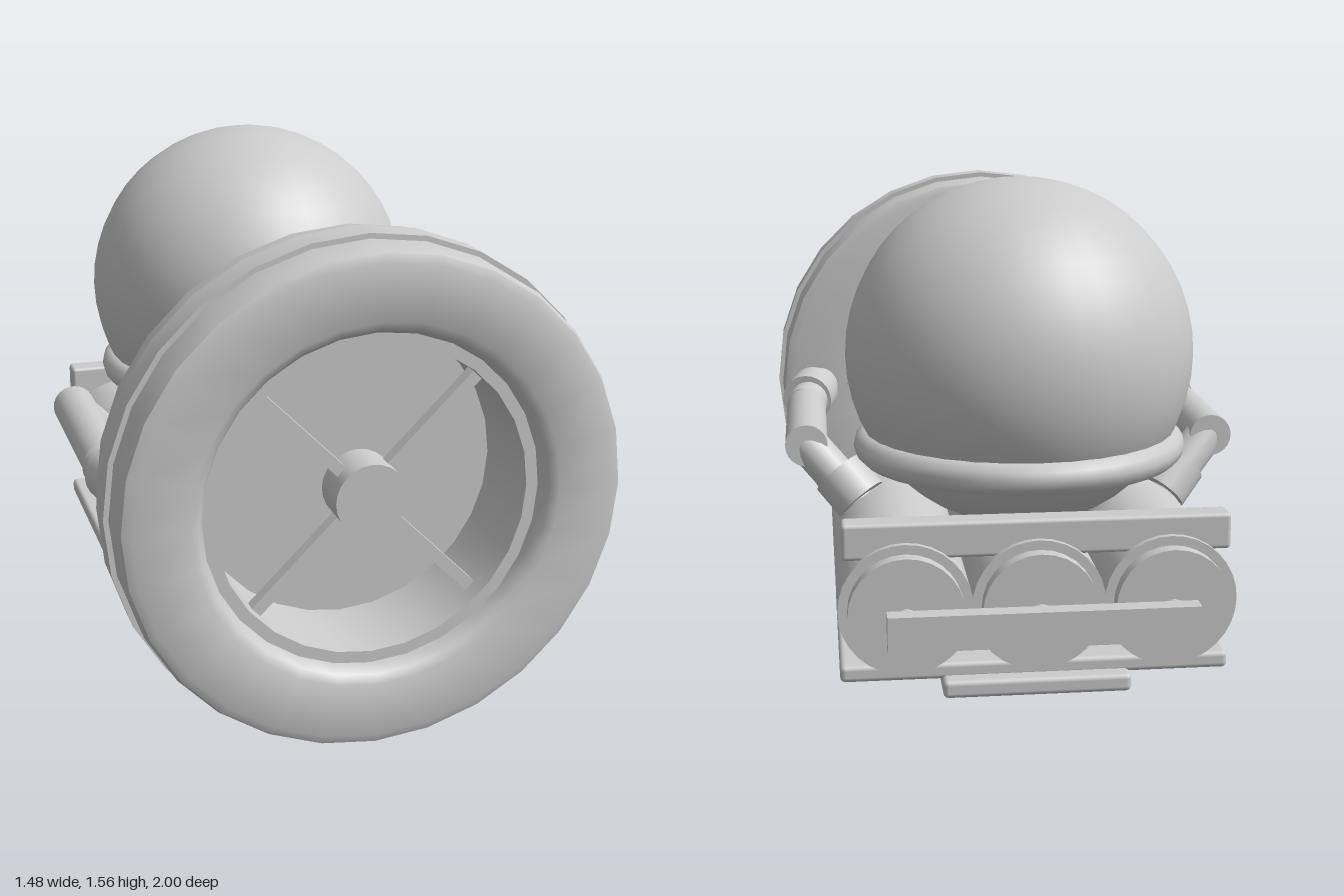
import * as THREE from 'three';
import { toCreasedNormals } from 'three/addons/utils/BufferGeometryUtils.js';
import { RoundedBoxGeometry } from 'three/addons/geometries/RoundedBoxGeometry.js';

const V = (x, y, z) => new THREE.Vector3(x, y, z);

export function createModel() {
  const model = new THREE.Group();
  model.name = 'thrusterCraft';
  const grey = new THREE.MeshStandardMaterial({ color: 0xcccccc });
  grey.name = 'lightGrey';

  const add = (name, geometry, x = 0, y = 0, z = 0) => {
    const mesh = new THREE.Mesh(geometry, grey);
    mesh.name = name;
    mesh.position.set(x, y, z);
    model.add(mesh);
    return mesh;
  };
  // rounded block given by its limits on each axis
  const block = (name, [x0, x1], [y0, y1], [z0, z1], r) =>
    add(name, new RoundedBoxGeometry(x1 - x0, y1 - y0, z1 - z0, 2, r),
      (x0 + x1) / 2, (y0 + y1) / 2, (z0 + z1) / 2);
  // cylinder between two points
  const rod = (name, a, b, r, sides = 24) => {
    const mesh = add(name, new THREE.CylinderGeometry(r, r, a.distanceTo(b), sides));
    mesh.position.copy(a).lerp(b, 0.5);
    mesh.quaternion.setFromUnitVectors(V(0, 1, 0), b.clone().sub(a).normalize());
    return mesh;
  };
  // profile of (radius, z) points turned about the fan axis
  const fanY = 0.745;
  const turned = (name, profile) => {
    const pts = profile.map(([r, z]) => new THREE.Vector2(r, z));
    const geo = new THREE.LatheGeometry(pts, 28).rotateX(Math.PI / 2);
    return add(name, toCreasedNormals(geo, 0.6), 0, fanY, 0);
  };

  // Fan: rim, outer band, liner, back plate, hub and spokes
  turned('fanRim', [[0.49, 0.65], [0.69, 0.65], [0.715, 0.66], [0.725, 0.685], [0.725, 0.965],
    [0.715, 0.99], [0.69, 1], [0.53, 1], [0.505, 0.985], [0.49, 0.955], [0.49, 0.65]]);
  turned('fanBand', [[0.71, 0.77], [0.74, 0.77], [0.74, 0.87], [0.71, 0.87]]);
  turned('fanLiner', [[0.493, 0.64], [0.493, 0.94], [0.455, 0.94], [0.455, 0.64]]);
  rod('fanBackPlate', V(0, fanY, 0.63), V(0, fanY, 0.66), 0.495, 28);
  rod('fanHub', V(0, fanY, 0.8), V(0, fanY, 0.93), 0.105);
  for (let i = 0; i < 4; i++) {
    const a = Math.PI / 4 + i * Math.PI / 2;
    const spoke = add('fanSpoke', new THREE.BoxGeometry(0.39, 0.035, 0.04),
      Math.cos(a) * 0.275, fanY + Math.sin(a) * 0.275, 0.86);
    spoke.rotation.z = a;
  }

  // Motor housing with top panel and side bolts
  block('motorHousing', [-0.325, 0.325], [0.335, 0.97], [0.18, 0.635], 0.02);
  block('motorPanel', [-0.265, 0.265], [0.94, 1.0], [0.265, 0.56], 0.015);
  for (const s of [-1, 1])
    for (const z of [0.305, 0.49])
      rod('motorBolt', V(s * 0.31, 0.63, z), V(s * 0.35, 0.63, z), 0.03, 12);

  // Three tanks with end caps and knobs
  for (const x of [-0.375, 0, 0.375]) {
    rod('tank', V(x, 0.41, 0.26), V(x, 0.41, -0.855), 0.19, 32);
    rod('tankCap', V(x, 0.41, -0.85), V(x, 0.41, -0.9), 0.163, 28);
    rod('tankKnob', V(x, 0.395, -0.89), V(x, 0.395, -0.95), 0.035, 12);
  }
  add('rearBar', new THREE.BoxGeometry(0.865, 0.1, 0.055), 0, 0.39, -0.9725);
  block('topStrap', [-0.55, 0.55], [0.55, 0.655], [-0.835, -0.755], 0.012);

  // Skid plates under the tanks
  block('upperSkid', [-0.56, 0.56], [0.175, 0.225], [-0.79, -0.1], 0.015);
  block('lowerSkid', [-0.27, 0.27], [0.134, 0.187], [-0.84, -0.05], 0.015);

  // Globe and its seating ring
  add('globe', new THREE.SphereGeometry(0.52, 32, 24), 0, 1.045, -0.37);
  add('globeRing', new THREE.TorusGeometry(0.45, 0.05, 12, 40).rotateX(Math.PI / 2), 0, 0.77, -0.37);

  // Pipes from the fan to the outer tanks, on both sides
  for (const s of [-1, 1]) {
    const p = (x, y, z) => V(s * x, y, z);
    rod('pipe', p(0.642, 0.72, -0.17), p(0.642, 0.72, 0.42), 0.066);
    rod('pipeFrontBend', p(0.65, 0.72, 0.39), p(0.595, 0.74, 0.66), 0.066);
    rod('pipeFrontCollar', p(0.64, 0.728, 0.475), p(0.615, 0.736, 0.595), 0.085);
    rod('pipeRearBend', p(0.645, 0.72, -0.11), p(0.46, 0.52, -0.21), 0.062);
    rod('pipeRearCollar', p(0.545, 0.63, -0.16), p(0.475, 0.55, -0.2), 0.085);
  }
  return model;
}
